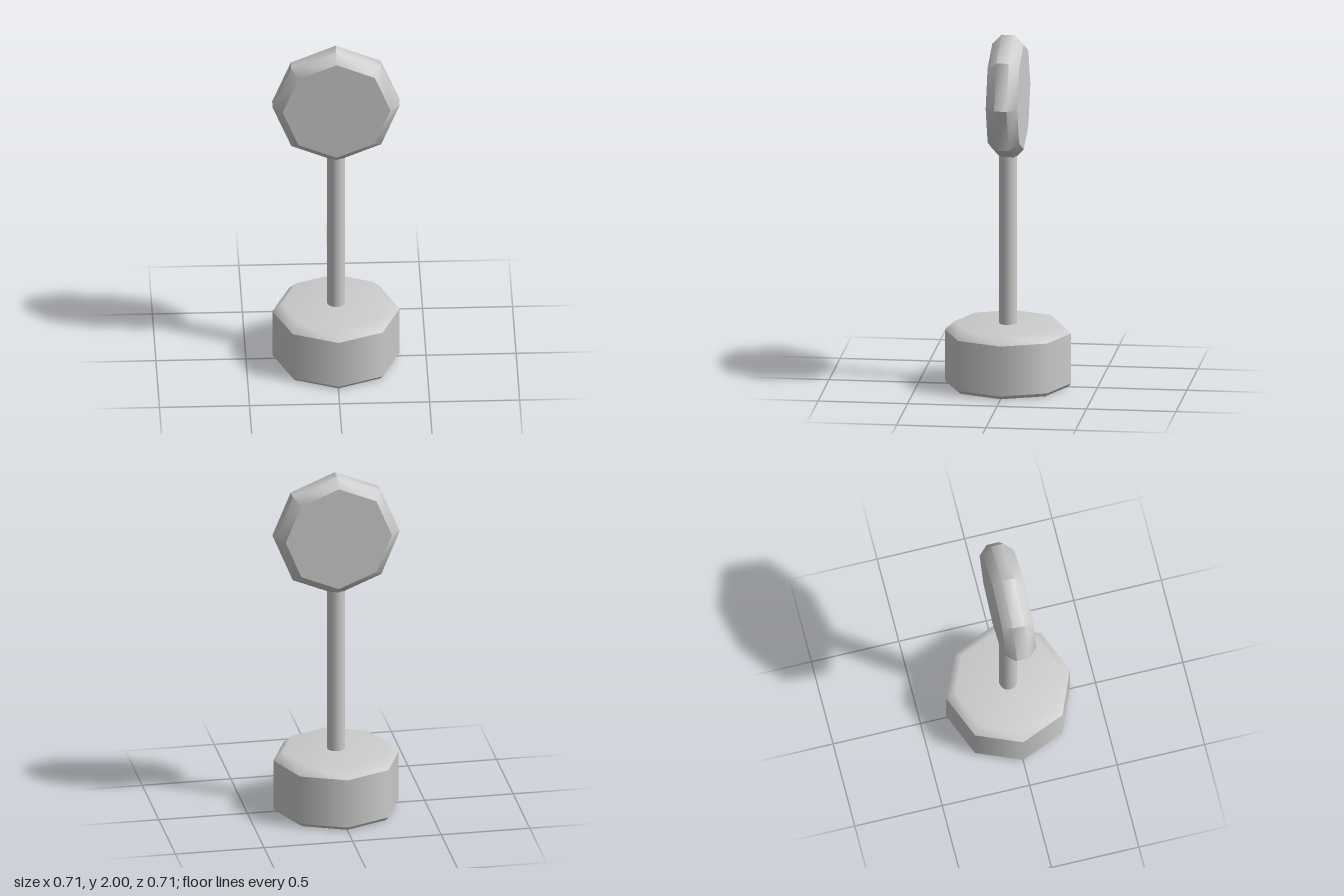
import * as THREE from 'three';
import { toCreasedNormals } from 'three/addons/utils/BufferGeometryUtils.js';

const SIDES = 8;
const material = new THREE.MeshStandardMaterial({ color: 0xcccccc });

// Turned shape from [radius, height] pairs listed bottom to top
function turned(profile, sides = SIDES) {
  return new THREE.LatheGeometry(profile.map(([r, y]) => new THREE.Vector2(r, y)), sides);
}

function addPart(parent, name, geometry) {
  const mesh = new THREE.Mesh(geometry, material);
  mesh.name = name;
  parent.add(mesh);
  return mesh;
}

export function createModel() {
  const model = new THREE.Group();
  model.name = 'signPost';

  // Octagonal base: separate strips keep the edges between them sharp
  const base = new THREE.Group();
  base.name = 'base';
  addPart(base, 'baseUnderside', turned([[0, 0], [0.335, 0]]));
  addPart(base, 'baseFoot', turned([[0.335, 0], [0.353, 0.02]]));
  addPart(base, 'baseWall', turned([[0.353, 0.02], [0.353, 0.305]]));
  addPart(base, 'baseTop', turned([[0.353, 0.305], [0.3, 0.355], [0, 0.355]]));
  model.add(base);

  // Round pole, set into the base and the head
  const pole = addPart(model, 'pole', new THREE.CylinderGeometry(0.05, 0.05, 1.0, 16));
  pole.position.y = 0.84;

  // Upright octagonal head with bevelled rim on both faces
  const headShape = turned([
    [0, -0.088], [0.3, -0.088], [0.353, -0.035],
    [0.353, 0.035], [0.3, 0.088], [0, 0.088],
  ]);
  headShape.rotateX(Math.PI / 2);
  const head = addPart(model, 'head', toCreasedNormals(headShape, 0.77));
  head.position.y = 1.647;

  return model;
}
